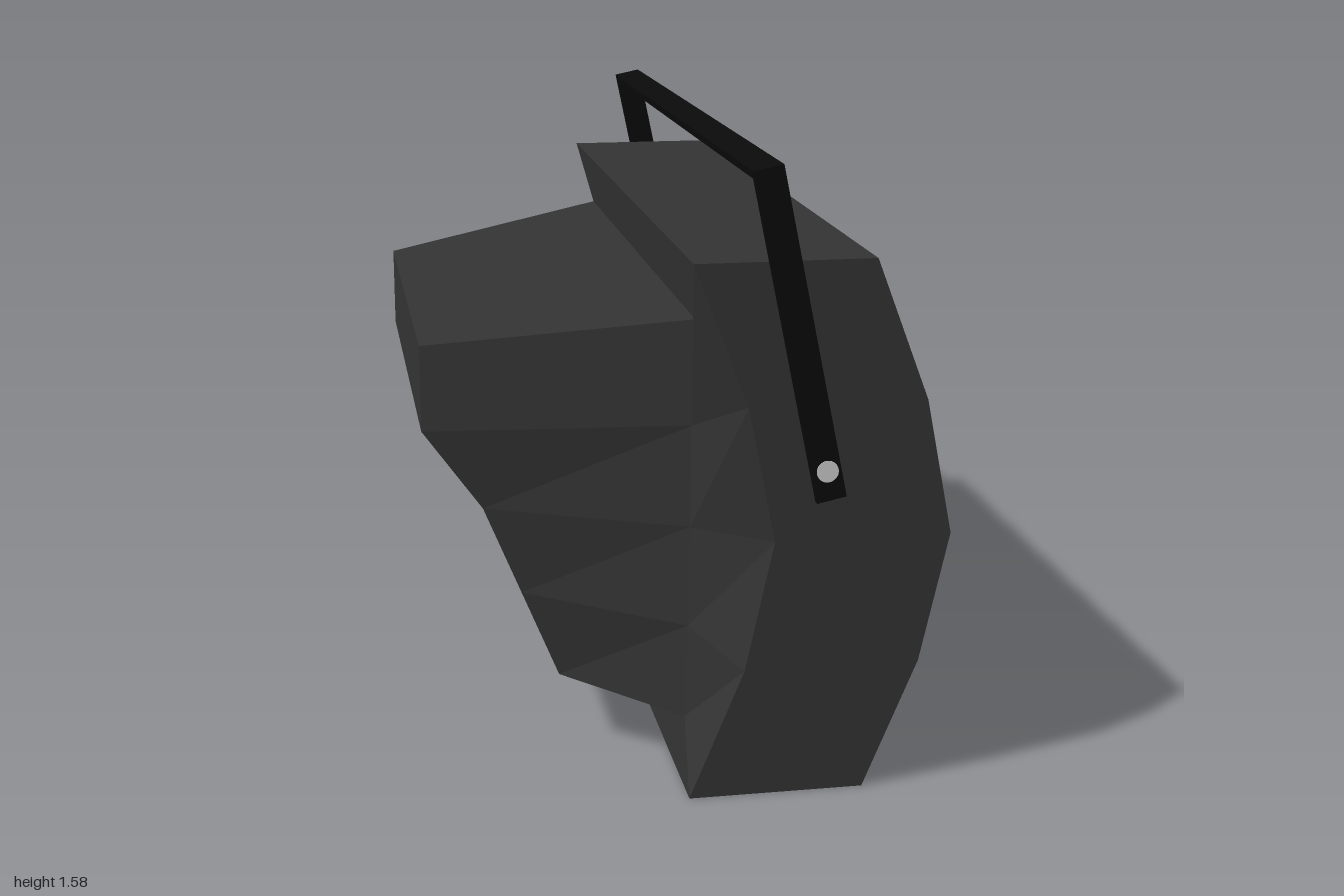
import * as THREE from 'three';

const mat = (color) => new THREE.MeshStandardMaterial({ color, flatShading: true, side: THREE.DoubleSide });
const bodyMat = mat(0x333333), blackMat = mat(0x0a0a0a), boltMat = mat(0xcccccc);

// Collects quads into one geometry; corners are [x, y, z]
function quadMesh(name, material, quads) {
  const pos = [];
  for (const [a, b, c, d] of quads) pos.push(...a, ...b, ...c, ...a, ...c, ...d);
  const g = new THREE.BufferGeometry();
  g.setAttribute('position', new THREE.Float32BufferAttribute(pos, 3));
  g.computeVertexNormals();
  const m = new THREE.Mesh(g, material);
  m.name = name;
  return m;
}

// Closed loop: side profile [x, y] at +z, then mirrored back up at -z
function loop(profile, z) {
  const left = profile.map(([x, y]) => [x, y, z]);
  return [...left, ...left.map(([x, y]) => [x, y, -z]).reverse()];
}

// Quads bridging successive loops
function loft(loops) {
  const quads = [];
  for (let k = 0; k + 1 < loops.length; k++) {
    const a = loops[k], b = loops[k + 1];
    for (let i = 0; i < a.length; i++) {
      const j = (i + 1) % a.length;
      quads.push([a[i], b[i], b[j], a[j]]);
    }
  }
  return quads;
}

// Side profiles, listed top to bottom
const grilleEdge = [[0.405, 1.32], [0.535, 0.995], [0.605, 0.66], [0.535, 0.335], [0.405, 0.03]];
const frontRim = [[0.425, 1.35], [0.56, 1.0], [0.63, 0.66], [0.56, 0.33], [0.425, 0]];
const backRim = [[-0.015, 1.35], [0.12, 1.0], [0.19, 0.66], [0.12, 0.33], [-0.015, 0]];
const mouth = [[0.018, 1.185], [0.012, 0.92], [0.01, 0.66], [0.006, 0.4], [0, 0.155]];
const rear = [[-0.63, 1.09], [-0.63, 0.87], [-0.48, 0.66], [-0.385, 0.4275], [-0.29, 0.195]];

// x on the bent grille surface at height y
function grilleX(y) {
  for (let i = 0; i < 4; i++) {
    const [x0, y0] = grilleEdge[i], [x1, y1] = grilleEdge[i + 1];
    if (y >= y1 || i === 3) return x0 + (x1 - x0) * (y0 - y) / (y0 - y1);
  }
}

// Upright patch lying on the bent surface, offset forward by dx
function bentPatch(z0, z1, yTop, yBottom, dx = 0) {
  const ys = [yTop, ...grilleEdge.map((p) => p[1]).filter((y) => y < yTop && y > yBottom), yBottom];
  const quads = [];
  for (let i = 0; i + 1 < ys.length; i++) {
    const xa = grilleX(ys[i]) + dx, xb = grilleX(ys[i + 1]) + dx;
    quads.push([[xa, ys[i], z1], [xb, ys[i + 1], z1], [xb, ys[i + 1], z0], [xa, ys[i], z0]]);
  }
  return quads;
}

// Spans left solid between evenly spaced square holes
function bars(min, max, first, last, count, hole) {
  const spans = [];
  let start = min;
  for (let i = 0; i < count; i++) {
    const c = first + (last - first) * i / (count - 1);
    spans.push([start, c - hole / 2]);
    start = c + hole / 2;
  }
  spans.push([start, max]);
  return spans;
}

export function createModel() {
  const model = new THREE.Group();
  model.name = 'stageSpeaker';

  // Hollow cabinet with a bevelled front lip
  const M = loop(mouth, 0.83), P = loop(rear, 0.605);
  model.add(quadMesh('cabinet', bodyMat,
    loft([loop(grilleEdge, 0.915), loop(frontRim, 0.975), loop(backRim, 0.975), M])));

  // Tapered rear housing, closed at the back
  const housing = loft([M, P]);
  for (let i = 0; i < 4; i++) housing.push([P[i], P[9 - i], P[8 - i], P[i + 1]]);
  model.add(quadMesh('rearHousing', bodyMat, housing));

  // Perforated grille woven from upright and level bars
  const grille = [];
  for (const [a, b] of bars(-0.915, 0.915, -0.9, 0.9, 57, 0.015)) grille.push(...bentPatch(a, b, 1.32, 0.03));
  for (const [a, b] of bars(0.03, 1.32, 0.05, 1.3, 40, 0.015)) grille.push(...bentPatch(-0.915, 0.915, b, a));
  model.add(quadMesh('grille', blackMat, grille));

  // Small blank plate on the grille
  model.add(quadMesh('grillePlate', blackMat, bentPatch(-0.62, -0.45, 0.78, 0.55, 0.004)));

  // Tilted carrying bracket
  const bracket = new THREE.Group();
  bracket.name = 'bracket';
  bracket.position.set(0.3225, 0.7675, 0);
  bracket.rotation.z = 0.208;
  const addBox = (name, w, h, d, y, z) => {
    const m = new THREE.Mesh(new THREE.BoxGeometry(w, h, d), blackMat);
    m.name = name;
    m.position.set(0, y, z);
    bracket.add(m);
  };
  addBox('bracketBar', 0.074, 0.02, 1.996, 0.813, 0);
  for (const s of [1, -1]) {
    addBox('bracketArm', 0.074, 0.803, 0.02, 0.4015, s * 0.988);
  }
  model.add(bracket);

  // Pivot bolts
  for (const s of [1, -1]) {
    const bolt = new THREE.Mesh(new THREE.CylinderGeometry(0.027, 0.027, 0.03, 20), boltMat);
    bolt.name = 'pivotBolt';
    bolt.rotation.x = Math.PI / 2;
    bolt.position.set(0.31, 0.84, s * 0.985);
    model.add(bolt);
  }
  return model;
}
